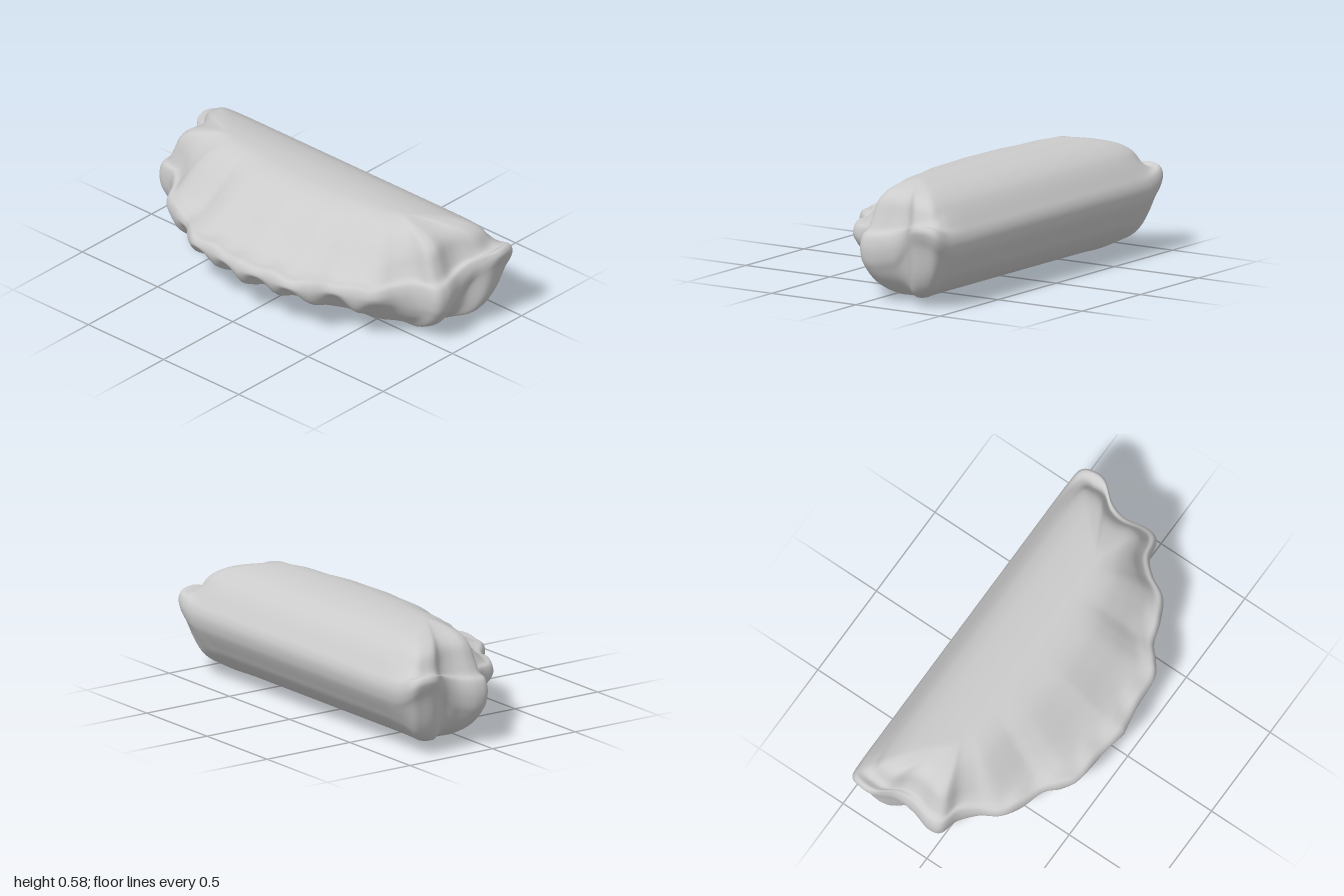
import * as THREE from 'three';

// Rim of the folded pastry, front centre -> left end -> back centre:
// [x, y, z, spine x, end weight, back weight]
const RIM = [
  [0, .285, .478, 0, 0, 0],
  [.15, .285, .452, .1, 0, 0],
  [.32, .285, .437, .22, 0, 0],
  [.4, .28, .39, .29, 0, 0],
  [.47, .28, .33, .35, 0, 0],
  [.58, .28, .29, .42, .1, 0],
  [.69, .28, .23, .48, .25, 0],
  [.75, .28, .13, .52, .45, 0],
  [.82, .28, .06, .54, .7, 0],
  [.92, .275, .03, .56, .9, 0],
  [.94, .275, -.04, .57, 1, 0],
  [.915, .295, -.15, .58, 1, 0],
  [.93, .35, -.24, .58, 1, 0],
  [.995, .4, -.33, .58, 1, 0],
  [.998, .405, -.41, .58, .9, .1],
  [.97, .38, -.465, .58, .6, .4],
  [.88, .34, -.482, .58, .2, .8],
  [.75, .33, -.485, .52, 0, 1],
  [.5, .33, -.485, .38, 0, 1],
  [.25, .33, -.485, .19, 0, 1],
  [0, .33, -.485, 0, 0, 1],
];

// Section profiles from the top, over the rim, to the bottom:
// [fraction from spine to rim, height]
const FRONT = [[0, .585], [.17, .577], [.35, .54], [.52, .47], [.68, .395], [.8, .35], [.89, .332], [.97, .322],
  [1, .285], [.97, .25], [.9, .215], [.8, .18], [.68, .14], [.52, .08], [.35, .035], [.17, .01], [0, 0]];
const END = [[0, .585], [.2, .58], [.45, .56], [.62, .535], [.73, .495], [.8, .425], [.87, .365], [.96, .34],
  [1, .28], [.98, .21], [.92, .16], [.84, .115], [.72, .075], [.55, .04], [.38, .015], [.18, .003], [0, 0]];
const BACK = [[0, .585], [.2, .58], [.4, .565], [.55, .545], [.7, .51], [.81, .465], [.91, .41], [.975, .37],
  [1, .33], [.985, .285], [.95, .25], [.87, .195], [.78, .14], [.6, .075], [.4, .03], [.2, .006], [0, 0]];

const SPINE_Z = -.1;
const HALF = 150; // steps along half of the rim
const ROWS = 64; // steps along a section

const rimCurve = new THREE.CatmullRomCurve3(RIM.map(r => new THREE.Vector3(r[0], r[1], r[2])), false, 'catmullrom', .5);

// Linear lookup of the spine position and the two blend weights
function weightsAt(t) {
  const f = t * (RIM.length - 1);
  const i = Math.min(Math.floor(f), RIM.length - 2);
  return [3, 4, 5].map(k => THREE.MathUtils.lerp(RIM[i][k], RIM[i + 1][k], f - i));
}

// One section of the pastry, as points from top to bottom
function section(t) {
  const rim = rimCurve.getPoint(t);
  const [spineX, end, back] = weightsAt(t);
  const front = 1 - end - back;
  const mix = (j, k) => FRONT[j][k] * front + END[j][k] * end + BACK[j][k] * back;
  const shift = rim.y - mix(8, 1);
  const ear = THREE.MathUtils.clamp((rim.y - .3) / .1, 0, 1) * (1 - back);
  const crimp = Math.cos(rim.x * Math.PI * 2 / .2) * (front + .3 * end);

  const points = FRONT.map((_, j) => {
    let u = mix(j, 0);
    let y = mix(j, 1);
    const w = THREE.MathUtils.smoothstep(u, .78, 1);
    y += shift * w;
    y += (rim.y - y) * ear * .6 * w; // thin out the pointed ears
    // crimps pressed into the underside of the lip
    const dent = Math.max(0, 1 - Math.abs(j - 10.5) / 2.5);
    y -= crimp * dent * .028;
    u += crimp * dent * .02;
    if (j === 6 || j === 7) y += crimp * .005;
    return new THREE.Vector3(
      THREE.MathUtils.lerp(spineX, rim.x, u), y,
      THREE.MathUtils.lerp(SPINE_Z, rim.z, u));
  });
  return new THREE.CatmullRomCurve3(points, false, 'catmullrom', .5).getPoints(ROWS);
}

function pastryGeometry() {
  const half = [];
  for (let i = 0; i <= HALF; i++) half.push(section(i / HALF));
  // mirror the left half to close the loop
  const mirrored = half.slice(1, -1).reverse().map(s => s.map(p => new THREE.Vector3(-p.x, p.y, p.z)));
  const loops = [...half, ...mirrored];

  const positions = [];
  const index = [];
  const stride = ROWS + 1;
  loops.forEach((loop, i) => {
    const next = (i + 1) % loops.length;
    loop.forEach((p, j) => {
      positions.push(p.x, Math.max(0, p.y), p.z);
      if (j === ROWS) return;
      const a = i * stride + j;
      const b = next * stride + j;
      index.push(a, a + 1, b, b, a + 1, b + 1);
    });
  });

  const geometry = new THREE.BufferGeometry();
  geometry.setAttribute('position', new THREE.Float32BufferAttribute(positions, 3));
  geometry.setIndex(index);
  geometry.computeVertexNormals();
  // smooth shading across the seam along the spine
  for (let i = 0; i < loops.length; i++) {
    geometry.attributes.normal.setXYZ(i * stride, 0, 1, 0);
    geometry.attributes.normal.setXYZ(i * stride + ROWS, 0, -1, 0);
  }
  return geometry;
}

export function createModel() {
  const group = new THREE.Group();
  group.name = 'foldedPastry';
  const pastry = new THREE.Mesh(pastryGeometry(), new THREE.MeshStandardMaterial({ color: 0xcccccc }));
  pastry.name = 'crimpedPastryShell';
  group.add(pastry);
  return group;
}
